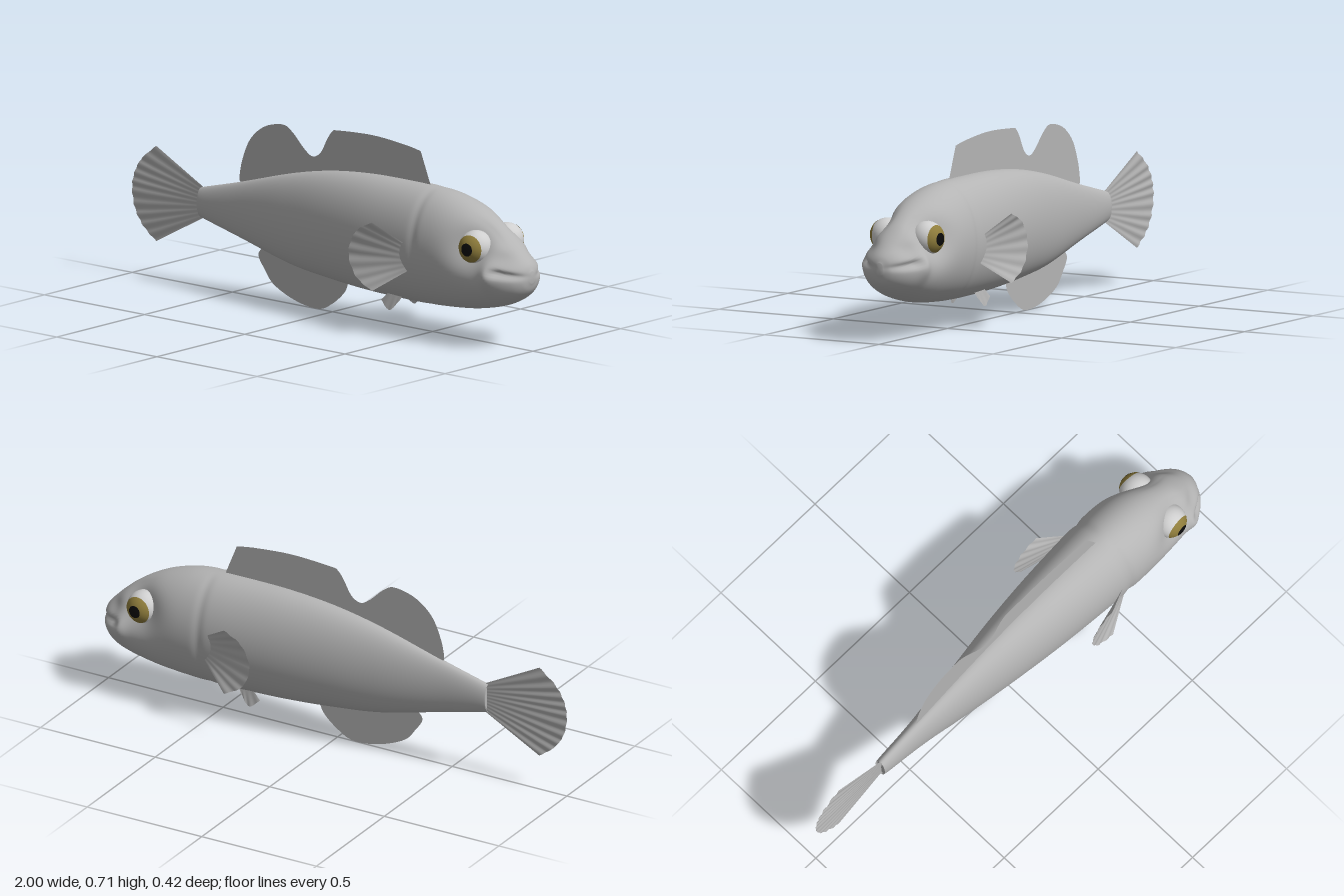
import * as THREE from 'three';

const V = (x, y, z = 0) => new THREE.Vector3(x, y, z);
const bump = (d, s) => Math.exp(-0.5 * (d / s) ** 2);

// Body stations: x, top, bottom, half width
const STATIONS = [
  [-0.65, 0.38, 0.27, 0.022], [-0.64, 0.386, 0.264, 0.027], [-0.45, 0.435, 0.217, 0.042],
  [-0.2, 0.505, 0.156, 0.079], [0, 0.545, 0.131, 0.108], [0.2, 0.564, 0.116, 0.131],
  [0.4, 0.567, 0.111, 0.147], [0.52, 0.564, 0.112, 0.153], [0.62, 0.553, 0.117, 0.155],
  [0.72, 0.525, 0.126, 0.152], [0.8, 0.488, 0.14, 0.147], [0.87, 0.442, 0.158, 0.137],
  [0.92, 0.4, 0.178, 0.12], [0.96, 0.361, 0.203, 0.088], [0.985, 0.333, 0.23, 0.053],
  [0.997, 0.308, 0.262, 0.018],
];

function bodyGeometry(rows = 180, sides = 96) {
  const heights = new THREE.CatmullRomCurve3(STATIONS.map(s => V(s[0], s[1], s[2])), false, 'catmullrom');
  const widths = new THREE.CatmullRomCurve3(STATIONS.map(s => V(s[0], s[3])), false, 'catmullrom');
  const pos = [], idx = [];
  for (let i = 0; i <= rows; i++) {
    const { x, y: top, z: bottom } = heights.getPoint(i / rows);
    const w = widths.getPoint(i / rows).y;
    for (let j = 0; j < sides; j++) {
      const a = (j / sides) * Math.PI * 2;
      const y = (top + bottom) / 2 + (top - bottom) / 2 * Math.cos(a);
      let z = w * Math.sin(a);
      const side = Math.sign(z) * Math.min(1, Math.abs(z) / 0.06);
      // eye sockets, cheeks and gill crease
      z -= side * 0.043 * bump(x - 0.8, 0.062) * bump(y - 0.39, 0.06);
      z += side * 0.013 * bump(x - 0.88, 0.022) * bump(y - 0.29, 0.035);
      z -= side * 0.005 * bump(x - 0.525, 0.013);
      // hollow snout and mouth line
      z *= 1 - 0.24 * bump(x - 0.935, 0.035) * bump(y - 0.36, 0.026);
      const mouth = THREE.MathUtils.smoothstep(x, 0.87, 0.92);
      z *= 1 - 0.2 * mouth * bump(y - 0.29 - (1 - x) * 0.17, 0.009);
      pos.push(x, y, z);
      if (i < rows) {
        const k = (j + 1) % sides, p = i * sides, q = p + sides;
        idx.push(p + j, p + k, q + j, p + k, q + k, q + j);
      }
    }
  }
  // end caps
  const tail = pos.length / 3, nose = tail + 1, last = rows * sides;
  pos.push(-0.652, 0.325, 0, 1, 0.285, 0);
  for (let j = 0; j < sides; j++) {
    const k = (j + 1) % sides;
    idx.push(tail, k, j, nose, last + j, last + k);
  }
  return surface(pos, idx);
}

function surface(pos, idx) {
  const g = new THREE.BufferGeometry();
  g.setAttribute('position', new THREE.Float32BufferAttribute(pos, 3));
  g.setIndex(idx);
  g.computeVertexNormals();
  return g;
}

// Fan-shaped fin: straight root, curved outer edge, fine rays
function fanFin(rootA, rootB, edgePoints, rays, depth) {
  const edge = new THREE.CatmullRomCurve3(edgePoints);
  const pos = [], idx = [], n = rays * 6, m = 5;
  for (let i = 0; i <= n; i++) {
    const root = rootA.clone().lerp(rootB, i / n), tip = edge.getPoint(i / n);
    for (let j = 0; j <= m; j++) {
      const p = root.clone().lerp(tip, j / m);
      pos.push(p.x, p.y, p.z + depth * (j / m) * Math.sin(i / n * rays * Math.PI * 2));
      if (i < n && j < m) {
        const a = i * (m + 1) + j, b = a + m + 1;
        idx.push(a, a + 1, b, b, a + 1, b + 1);
      }
    }
  }
  return surface(pos, idx);
}

// Flat fin on the centre line: base points, then a smooth outline
function flatFin(base, ...curves) {
  const shape = new THREE.Shape();
  base.forEach(([x, y], i) => (i ? shape.lineTo(x, y) : shape.moveTo(x, y)));
  for (const curve of curves) {
    shape.lineTo(...curve[0]);
    if (curve.length > 1) shape.splineThru(curve.slice(1).map(p => new THREE.Vector2(...p)));
  }
  shape.closePath();
  return new THREE.ShapeGeometry(shape, 8);
}

export function createModel() {
  const model = new THREE.Group();
  model.name = 'fish';
  const material = (name, color) => {
    const m = new THREE.MeshStandardMaterial({ color, side: THREE.DoubleSide });
    m.name = name;
    return m;
  };
  const skin = material('grey skin', 0xb4b4b4);
  const white = material('pale eye', 0xcfcfcf);
  const gold = material('gold iris', 0x8f7d3c);
  const black = material('black pupil', 0x0a0a0a);
  const add = (name, geometry, mat = skin, parent = model) => {
    const mesh = new THREE.Mesh(geometry, mat);
    mesh.name = name;
    parent.add(mesh);
    return mesh;
  };

  add('body', bodyGeometry());

  // Centre-line fins
  add('dorsalFin', flatFin(
    [[-0.4, 0.39], [0, 0.49], [0.47, 0.51]],
    [[0.49, 0.562]],
    [[0.44, 0.687], [0.36, 0.7], [0.2, 0.712], [0.03, 0.704], [0, 0.696], [-0.025, 0.665],
      [-0.06, 0.605], [-0.1, 0.585], [-0.14, 0.607], [-0.2, 0.663], [-0.25, 0.685],
      [-0.34, 0.663], [-0.41, 0.605], [-0.45, 0.52], [-0.465, 0.445], [-0.455, 0.432]]));
  add('analFin', flatFin(
    [[-0.3, 0.24], [0.05, 0.19]],
    [[0.08, 0.13], [0.06, 0.085], [0, 0.033], [-0.07, 0.002], [-0.18, 0.015],
      [-0.29, 0.06], [-0.34, 0.115], [-0.37, 0.165], [-0.345, 0.2]]));
  add('tailFin', fanFin(V(-0.64, 0.382), V(-0.64, 0.268),
    [V(-0.88, 0.507), V(-0.955, 0.445), V(-0.99, 0.385), V(-1, 0.325), V(-0.985, 0.25),
      V(-0.945, 0.19), V(-0.88, 0.14)], 10, 0.0025));

  // Paired fins and eyes
  for (const s of [1, -1]) {
    const side = s > 0 ? 'front' : 'back';
    add(side + 'PectoralFin', fanFin(V(0.5, 0.355, 0.14 * s), V(0.5, 0.26, 0.14 * s),
      [V(0.375, 0.437, 0.205 * s), V(0.3, 0.395, 0.207 * s), V(0.262, 0.31, 0.208 * s),
        V(0.295, 0.222, 0.207 * s), V(0.375, 0.173, 0.205 * s)], 7, 0.002));
    add(side + 'PelvicFin', fanFin(V(0.4, 0.135, 0.054 * s), V(0.33, 0.135, 0.06 * s),
      [V(0.385, 0.11, 0.061 * s), V(0.345, 0.073, 0.071 * s), V(0.3, 0.105, 0.066 * s)], 3, 0.001));

    const eye = new THREE.Group();
    eye.name = side + 'Eye';
    eye.position.set(0.793, 0.386, 0.087 * s);
    eye.rotation.y = 0.1 * s;
    const cap = (r, angle) =>
      new THREE.SphereGeometry(r, 40, 16, 0, Math.PI * 2, 0, angle).rotateX(s * Math.PI / 2);
    add('eyeball', cap(0.065, Math.PI), white, eye);
    add('iris', cap(0.0658, 0.92), gold, eye);
    add('pupil', cap(0.0664, 0.38), black, eye);
    model.add(eye);
  }
  return model;
}
